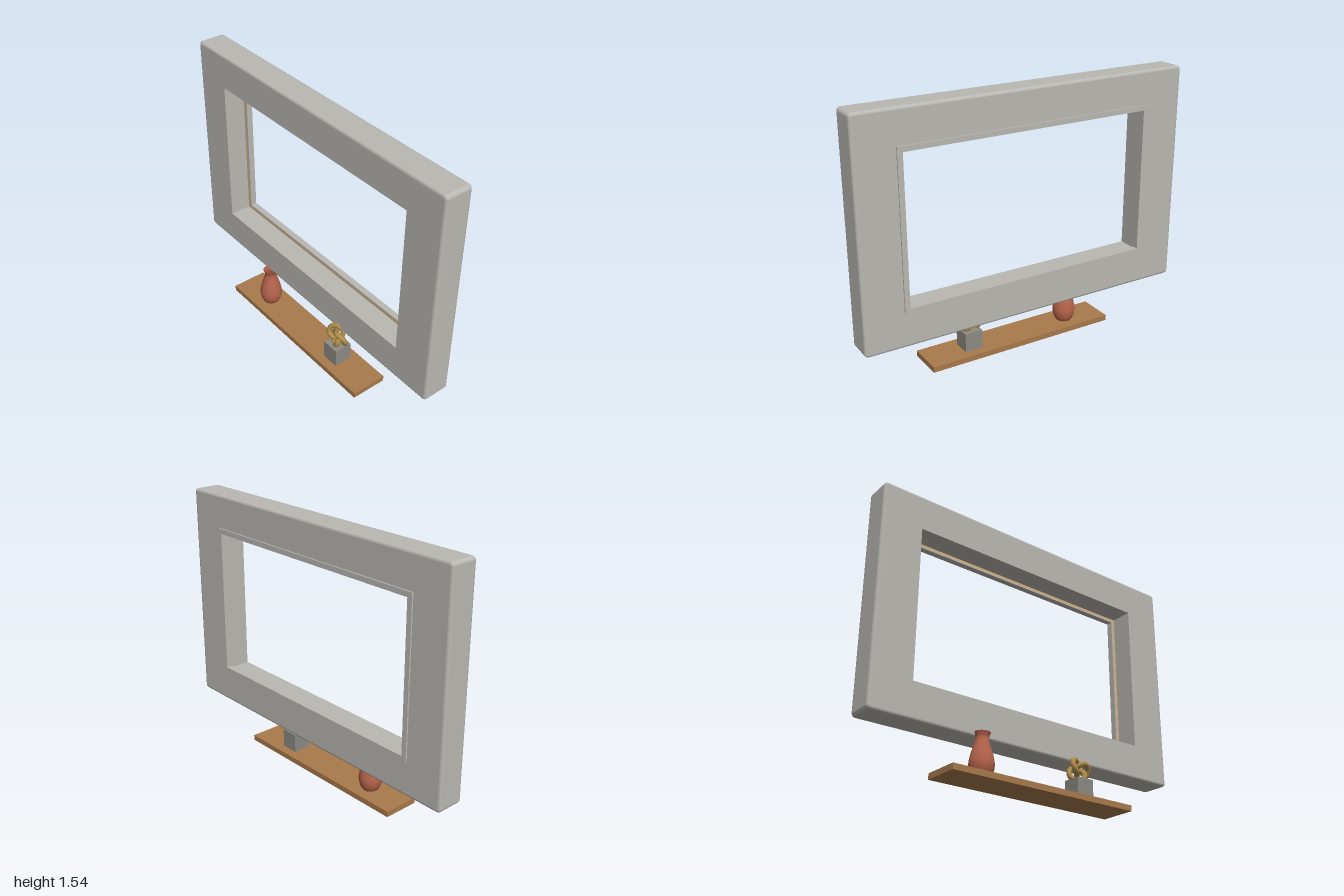
import * as THREE from 'three';

const mat = (name, color, side = THREE.FrontSide) => {
  const m = new THREE.MeshStandardMaterial({ color, side });
  m.name = name;
  return m;
};

// Rounded rectangle outline around (0, cy)
function roundedRect(Target, w, h, r, cy) {
  const s = new Target();
  const x = w / 2 - r, y = h / 2 - r;
  s.absarc(x, cy + y, r, 0, Math.PI / 2);
  s.absarc(-x, cy + y, r, Math.PI / 2, Math.PI);
  s.absarc(-x, cy - y, r, Math.PI, Math.PI * 1.5);
  s.absarc(x, cy - y, r, Math.PI * 1.5, Math.PI * 2);
  s.closePath();
  return s;
}

function rectHole(w, h, cy) {
  const p = new THREE.Path();
  p.moveTo(-w / 2, cy - h / 2);
  p.lineTo(-w / 2, cy + h / 2);
  p.lineTo(w / 2, cy + h / 2);
  p.lineTo(w / 2, cy - h / 2);
  p.closePath();
  return p;
}

// Sharp-edged rectangular ring between z0 and z1
function ring(w, h, holeW, holeH, cy, z0, z1) {
  const s = new THREE.Shape(rectHole(w, h, cy).getPoints());
  s.holes.push(rectHole(holeW, holeH, cy));
  const g = new THREE.ExtrudeGeometry(s, { depth: z1 - z0, bevelEnabled: false });
  return g.translate(0, 0, z0);
}

// Skin joining rounded-rectangle loops given as [z, inset], running back to front
function skirt(w, h, r, cy, loops) {
  const pos = [], index = [];
  let n = 0;
  for (const [z, inset] of loops) {
    const pts = roundedRect(THREE.Path, w - 2 * inset, h - 2 * inset, r - inset, cy).getPoints(6);
    n = pts.length;
    for (const p of pts) pos.push(p.x, p.y, z);
  }
  for (let j = 0; j < loops.length - 1; j++) {
    for (let i = 0; i < n; i++) {
      const a = j * n + i, b = j * n + (i + 1) % n;
      index.push(a, b, b + n, a, b + n, a + n);
    }
  }
  const g = new THREE.BufferGeometry();
  g.setAttribute('position', new THREE.Float32BufferAttribute(pos, 3));
  g.setIndex(index);
  g.computeVertexNormals();
  return g;
}

export function createModel() {
  const root = new THREE.Group();
  const stone = mat('frame grey', 0xbab8b2, THREE.DoubleSide);
  const strip = mat('warm strip', 0xd9b17a);
  const wood = mat('shelf wood', 0xa87a4c);
  const clay = mat('vase clay', 0xb5634a, THREE.DoubleSide);
  const plinthGrey = mat('plinth grey', 0x8c8a83);
  const brass = mat('sculpture brass', 0xb08d4a);

  const add = (parent, name, geometry, material, x = 0, y = 0, z = 0) => {
    const m = new THREE.Mesh(geometry, material);
    m.name = name;
    m.position.set(x, y, z);
    parent.add(m);
    return m;
  };

  // Wall frame: softened outer edges, sharp opening
  const frame = new THREE.Group();
  frame.name = 'wallFrame';
  root.add(frame);
  const W = 2, H = 1.295, CY = 0.8925, R = 0.022, B = 0.015;
  const front = 0.026, back = -0.136;
  const openW = 1.52, openH = 0.885, openY = 0.8925;

  const loops = [];
  for (let i = 0; i <= 4; i++) {
    const a = (i / 4) * Math.PI / 2;
    loops.push([back + B * (1 - Math.sin(a)), B * (1 - Math.cos(a))]);
  }
  loops.reverse();
  const bevelBack = [...loops].reverse().map(([z, d]) => [z, d]);
  const bevelFront = bevelBack.map(([z, d]) => [front + back - z, d]).reverse();
  const backLoops = bevelBack.sort((p, q) => p[0] - q[0]);
  const frontLoops = bevelFront.sort((p, q) => p[0] - q[0]);
  add(frame, 'frameBackEdge', skirt(W, H, R, CY, backLoops), stone);
  add(frame, 'frameSides', skirt(W, H, R, CY, [[back + B, 0], [front - B, 0]]), stone);
  add(frame, 'frameFrontEdge', skirt(W, H, R, CY, frontLoops), stone);

  const face = roundedRect(THREE.Shape, W - 2 * B, H - 2 * B, R - B, CY);
  face.holes.push(rectHole(openW, openH, openY));
  const faceGeo = new THREE.ShapeGeometry(face, 6);
  add(frame, 'frameFront', faceGeo, stone, 0, 0, front);
  const backGeo = faceGeo.clone().rotateY(Math.PI);
  add(frame, 'frameBack', backGeo, stone, 0, 0, back);

  // Walls of the opening
  const depth = front - back, midZ = (front + back) / 2;
  for (const s of [-1, 1]) {
    const side = add(frame, 'openingSide', new THREE.PlaneGeometry(depth, openH), stone,
      s * openW / 2, openY, midZ);
    side.rotation.y = -s * Math.PI / 2;
    const level = add(frame, 'openingLevel', new THREE.PlaneGeometry(openW, depth), stone,
      0, openY + s * openH / 2, midZ);
    level.rotation.x = s * Math.PI / 2;
  }

  // Lip at the back of the opening, with a warm strip on its front
  add(frame, 'backLip', ring(1.54, 0.905, 1.48, 0.845, openY, -0.145, -0.1365), stone);
  add(frame, 'innerLip', ring(1.519, 0.884, 1.48, 0.845, openY, -0.1365, -0.108), stone);
  add(frame, 'warmStrip', ring(1.512, 0.877, 1.488, 0.853, openY, -0.108, -0.1), strip);

  // Shelf
  add(root, 'shelf', new THREE.BoxGeometry(1.172, 0.033, 0.216), wood, 0, 0.0165, 0.037);

  // Vase, open at the top
  const outline = new THREE.SplineCurve([
    [0.046, 0], [0.06, 0.026], [0.067, 0.066], [0.06, 0.112], [0.046, 0.16],
    [0.036, 0.198], [0.036, 0.216], [0.044, 0.237],
  ].map(([x, y]) => new THREE.Vector2(x, y))).getPoints(24);
  add(root, 'vase', new THREE.LatheGeometry([new THREE.Vector2(0, 0), ...outline], 32), clay,
    -0.345, 0.033, 0.037);

  // Knot sculpture on its plinth
  add(root, 'plinth', new THREE.BoxGeometry(0.108, 0.112, 0.108), plinthGrey, 0.303, 0.089, 0.037);
  add(root, 'knotSculpture', new THREE.TorusKnotGeometry(0.044, 0.015, 96, 12), brass, 0.302, 0.2, 0.037);

  return root;
}
